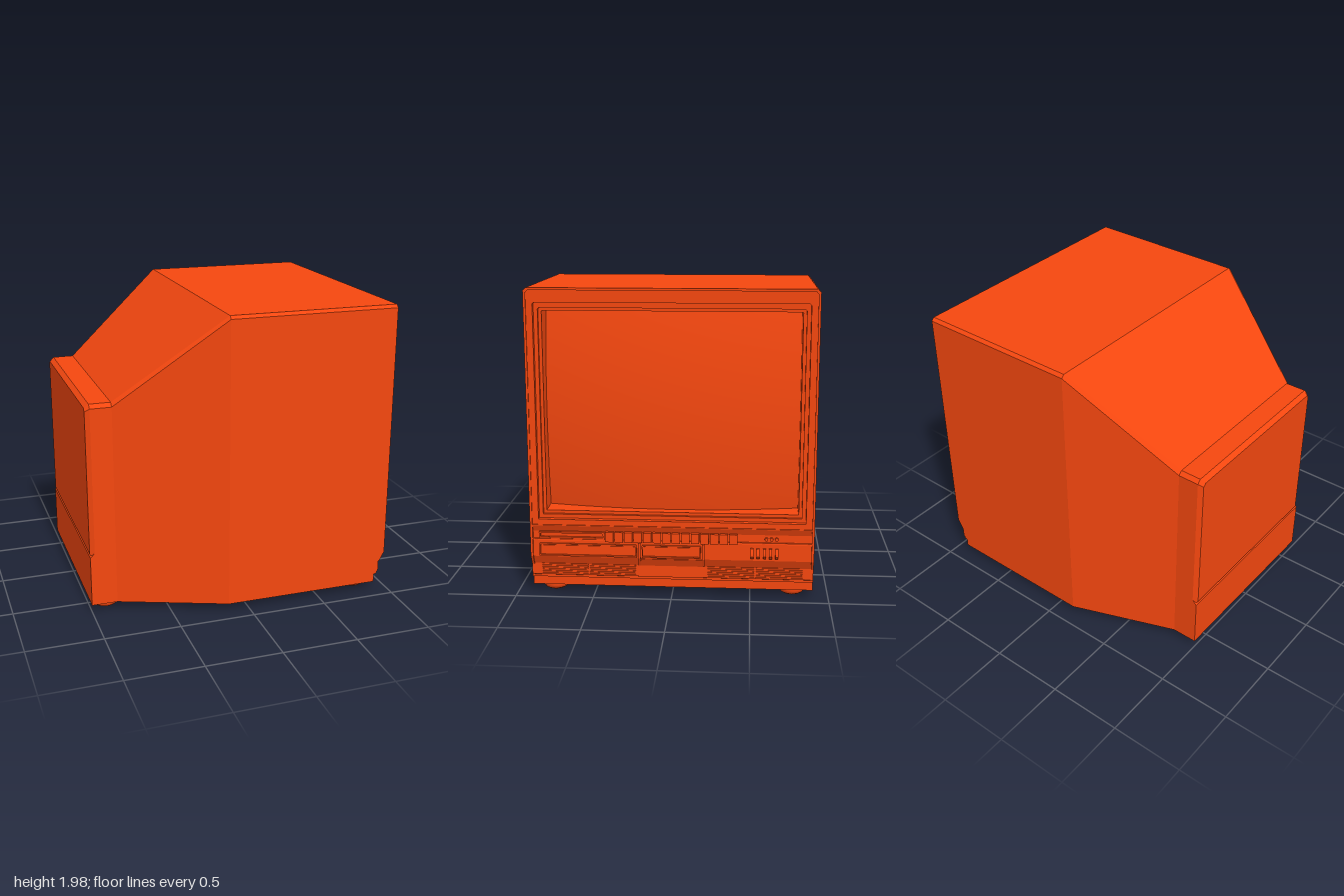
import * as THREE from 'three';

export function createModel() {
  const root = new THREE.Group();
  const mat = new THREE.MeshStandardMaterial({ color: 0xf5470f });
  const matOpen = new THREE.MeshStandardMaterial({ color: 0xf5470f, side: THREE.DoubleSide });

  const add = (name, geo, parent = root, m = mat) => {
    const mesh = new THREE.Mesh(geo, m);
    mesh.name = name;
    parent.add(mesh);
    return mesh;
  };
  const group = (name) => {
    const g = new THREE.Group();
    g.name = name;
    root.add(g);
    return g;
  };
  const box = (name, x0, x1, y0, y1, z0, z1, parent) => {
    const g = new THREE.BoxGeometry(x1 - x0, y1 - y0, z1 - z0);
    g.translate((x0 + x1) / 2, (y0 + y1) / 2, (z0 + z1) / 2);
    return add(name, g, parent);
  };

  // Rectangle in the z-y plane with chamfered top corners
  const ring = (w, b, t, c) => [[-w, b], [w, b], [w, t - c], [w - c, t], [c - w, t], [-w, t - c]];

  // Flat-faced loft through sections [x, halfWidth, bottom, top, chamfer]
  const loft = (sections) => {
    const pos = [];
    const rings = sections.map(([x, w, b, t, c]) => ring(w, b, t, c).map(([z, y]) => [x, y, z]));
    const tri = (...p) => p.forEach((q) => pos.push(...q));
    const n = 6;
    for (let i = 0; i + 1 < rings.length; i++) {
      const A = rings[i], B = rings[i + 1];
      for (let k = 0; k < n; k++) {
        const j = (k + 1) % n;
        tri(A[k], B[k], B[j]);
        tri(A[k], B[j], A[j]);
      }
    }
    const first = rings[0], last = rings[rings.length - 1];
    for (let k = 1; k + 1 < n; k++) {
      tri(first[0], first[k], first[k + 1]);
      tri(last[0], last[k + 1], last[k]);
    }
    const g = new THREE.BufferGeometry();
    g.setAttribute('position', new THREE.Float32BufferAttribute(pos, 3));
    g.computeVertexNormals();
    return g;
  };

  // Frame in the z-y plane, extruded along x
  const frame = (name, outer, hole, x0, x1, parent, zc = 0) => {
    const toV = (pts) => pts.map(([z, y]) => new THREE.Vector2(z, y));
    const shape = new THREE.Shape(toV(ring(...outer)));
    shape.holes.push(new THREE.Path(toV(ring(...hole)).reverse()));
    const g = new THREE.ExtrudeGeometry(shape, { depth: x1 - x0, bevelEnabled: false });
    g.rotateY(Math.PI / 2);
    g.translate(x0, 0, zc);
    return add(name, g, parent);
  };

  // Profile in the x-y plane, extruded from z0 to z1
  const prism = (name, pts, z0, z1, parent) => {
    const shape = new THREE.Shape(pts.map(([x, y]) => new THREE.Vector2(x, y)));
    const g = new THREE.ExtrudeGeometry(shape, { depth: z1 - z0, bevelEnabled: false });
    g.translate(0, 0, z0);
    return add(name, g, parent);
  };

  // Cabinet: tapered rear housing
  add('cabinet', loft([
    [-0.97, 0.64, 0.05, 1.42, 0.025],
    [-0.83, 0.64, 0.05, 1.42, 0.025],
    [-0.14, 0.9, 0.05, 1.975, 0.02],
    [0.75, 0.9, 0.05, 1.975, 0.02],
  ]));
  add('backPanel', loft([
    [-1, 0.62, 0.41, 1.395, 0.02],
    [-0.97, 0.64, 0.38, 1.42, 0.025],
  ]));
  prism('backSkirt', [[-0.97, 0.05], [-0.97, 0.42], [-1, 0.39], [-1, 0.05]], -0.64, 0.64);

  // Rear sockets
  const sockets = group('rearSockets');
  frame('socketSurround', [0.15, 0.15, 0.35, 0.01], [0.135, 0.165, 0.335, 0.01], -1, -0.992, sockets, -0.08);
  for (let r = 0; r < 3; r++) {
    for (let c = 0; c < 2; c++) {
      const s = new THREE.CylinderGeometry(0.02, 0.02, 0.02, 12);
      s.rotateZ(Math.PI / 2);
      s.translate(-0.99, 0.195 + r * 0.055, -0.15 + c * 0.13);
      add('socket', s, sockets);
    }
  }

  // Stepped picture frame
  const bezel = group('bezel');
  frame('outerRim', [0.9, 0.47, 1.975, 0.02], [0.885, 0.475, 1.96, 0.015], 0.75, 0.98, bezel);
  frame('frontFrame', [0.885, 0.475, 1.96, 0.015], [0.845, 0.51, 1.885, 0.01], 0.75, 0.972, bezel);
  frame('middleStep', [0.845, 0.51, 1.885, 0.01], [0.82, 0.535, 1.85, 0.01], 0.75, 0.94, bezel);
  frame('innerStep', [0.82, 0.535, 1.85, 0.01], [0.8, 0.555, 1.83, 0.005], 0.75, 0.92, bezel);

  // Bulging screen
  const glass = new THREE.PlaneGeometry(1.62, 1.3, 32, 28);
  glass.rotateY(Math.PI / 2);
  glass.translate(0, 1.1925, 0);
  const gp = glass.attributes.position;
  for (let i = 0; i < gp.count; i++) {
    const y = gp.getY(i) - 1.1925, z = gp.getZ(i);
    gp.setX(i, 0.91 - 0.13 * (y * y + z * z));
  }
  glass.computeVertexNormals();
  add('screen', glass, root, matOpen);

  // Control panel under the screen
  const panel = group('controlPanel');
  prism('panelBody', [
    [0.75, 0.05], [0.91, 0.05], [0.91, 0.105], [0.93, 0.11], [0.93, 0.125], [0.94, 0.13],
    [0.94, 0.205], [0.968, 0.262], [0.968, 0.37], [0.96, 0.385], [0.96, 0.43], [0.978, 0.47], [0.75, 0.47],
  ], -0.9, 0.9, panel);
  for (const s of [-1, 1]) {
    prism('endCheek', [[0.75, 0.2], [0.945, 0.2], [0.98, 0.265], [0.98, 0.475], [0.75, 0.475]],
      s * 0.892 - 0.008, s * 0.892 + 0.008, panel);
  }
  box('panelLedge', 0.95, 0.974, 0.375, 0.382, -0.884, 0.884, panel);

  // Button row
  for (let i = 0; i < 14; i++) {
    const z = -0.393 + i * 0.0605;
    box('button', 0.95, 0.986, 0.37, 0.435, z - 0.026, z + 0.026, panel);
  }

  // Long slot and two flap doors
  frame('slotSurround', [0.21, 0.385, 0.43, 0.004], [0.2, 0.395, 0.42, 0.004], 0.95, 0.977, panel, 0.635);
  for (const [zc, w] of [[0.532, 0.312], [0, 0.187]]) {
    frame('doorSurround', [w, 0.268, 0.352, 0.004], [w - 0.008, 0.277, 0.343, 0.003], 0.95, 0.979, panel, zc);
    box('door', 0.95, 0.973, 0.281, 0.339, zc - w + 0.012, zc + w - 0.012, panel);
  }
  for (const z of [-0.203, 0.203]) {
    prism('divider', [[0.93, 0.205], [0.95, 0.205], [0.982, 0.265], [0.982, 0.365], [0.93, 0.365]],
      z - 0.008, z + 0.008, panel);
  }
  prism('centrePlinth', [[0.92, 0.13], [0.946, 0.13], [0.946, 0.205], [0.972, 0.258], [0.92, 0.258]],
    -0.2, 0.21, panel);

  // Slider knobs and indicator lamps
  for (let i = 0; i < 5; i++) {
    const z = -0.51 - i * 0.039;
    prism('slider', [[0.95, 0.275], [0.985, 0.28], [1, 0.3], [0.996, 0.315], [0.982, 0.345], [0.95, 0.345]],
      z - 0.009, z + 0.009, panel);
  }
  for (let i = 0; i < 3; i++) {
    const lamp = new THREE.CylinderGeometry(0.011, 0.011, 0.03, 12);
    lamp.rotateZ(Math.PI / 2);
    lamp.translate(0.963, 0.405, -0.6 - i * 0.032);
    add('lamp', lamp, panel);
  }

  // Speaker grilles: two sides, two bays each, thin slats
  for (const s of [-1, 1]) {
    for (const zc of [0.378, 0.685]) {
      for (let i = 0; i < 6; i++) {
        const y = 0.137 + i * 0.0125;
        box('grilleSlat', 0.93, 0.947, y, y + 0.006, s * zc - 0.148, s * zc + 0.148, panel);
      }
    }
  }

  // Feet
  const footPts = [[0, 0], [0.055, 0], [0.075, 0.012], [0.08, 0.03], [0.08, 0.055]]
    .map(([r, y]) => new THREE.Vector2(r, y));
  for (const [x, z] of [[0.805, 0.77], [-0.89, 0.53]]) {
    for (const s of [-1, 1]) {
      add('foot', new THREE.LatheGeometry(footPts, 20), root, matOpen).position.set(x, 0, s * z);
    }
  }

  return root;
}
